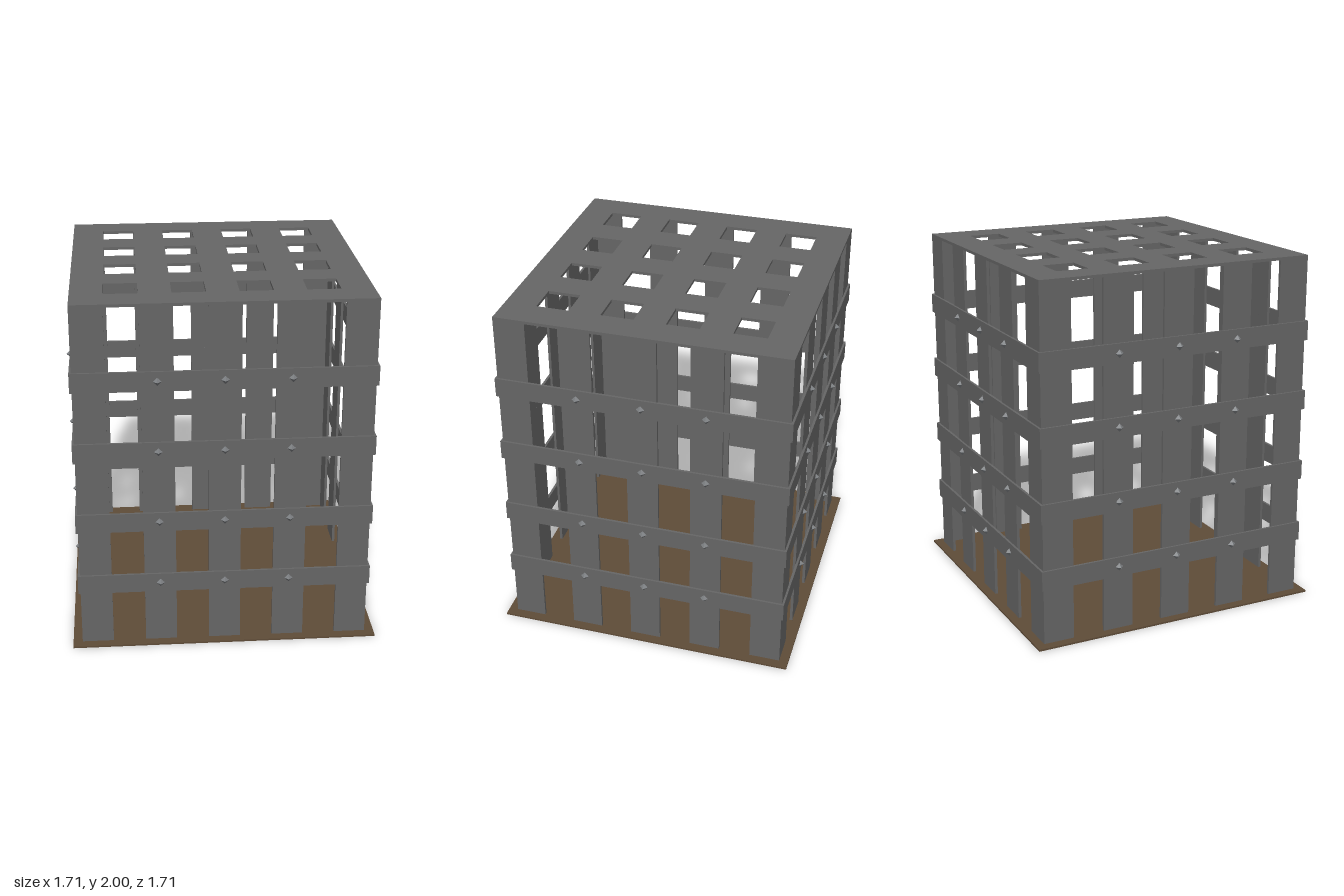
import * as THREE from 'three';

const HALF = 0.803;      // half width of the cage
const T = 0.016;         // plate thickness
const BAR = 0.176;       // bar width
const PITCH = 0.357;     // bar spacing
const BASE_H = 0.01;
const TOP = 2;
const BAND_Y = [0.38, 0.757, 1.175, 1.577];
const BAND_H = 0.11;
const BAND_OUT = 0.815;

const iron = new THREE.MeshStandardMaterial({ color: 0x666666, flatShading: true });
const studMat = new THREE.MeshStandardMaterial({ color: 0x7c7f82, flatShading: true });
const wood = new THREE.MeshStandardMaterial({ color: 0x5f4c38, flatShading: true });

function add(parent, name, geometry, material, x = 0, y = 0, z = 0) {
  const mesh = new THREE.Mesh(geometry, material);
  mesh.name = name;
  mesh.position.set(x, y, z);
  parent.add(mesh);
  return mesh;
}

// Closed polygon of [x, y] corners
const outline = (pts, Type = THREE.Shape) => new Type(pts.map(([x, y]) => new THREE.Vector2(x, y)));

const square = (cx, cy, h, Type) =>
  outline([[cx - h, cy - h], [cx + h, cy - h], [cx + h, cy + h], [cx - h, cy + h]], Type);

// Extrudes a plan shape upwards from y = 0
function extrudeUp(shape, height) {
  return new THREE.ExtrudeGeometry(shape, { depth: height, bevelEnabled: false }).rotateX(-Math.PI / 2);
}

export function createModel() {
  const model = new THREE.Group();
  model.name = 'cage';

  // Wooden floor
  add(model, 'floor', new THREE.BoxGeometry(1.71, BASE_H, 1.71), wood, 0, BASE_H / 2, 0);

  // Roof plate with a 4 x 4 grid of openings
  const roof = square(0, 0, HALF);
  for (let i = -1.5; i <= 1.5; i++)
    for (let j = -1.5; j <= 1.5; j++)
      roof.holes.push(square(i * PITCH, j * PITCH, (PITCH - BAR) / 2, THREE.Path));
  add(model, 'roof', extrudeUp(roof, T), iron, 0, TOP - T, 0);

  // Bar, angled corner post and stud shared by the four sides
  const barH = TOP - T - BASE_H;
  const barGeo = new THREE.BoxGeometry(BAR, barH, T);
  const inner = HALF - T;
  const edge = HALF - BAR;
  const postGeo = extrudeUp(outline([
    [HALF, -HALF], [HALF, -edge], [inner, -edge], [inner, -inner], [edge, -inner], [edge, -HALF],
  ]), barH);
  const studGeo = new THREE.OctahedronGeometry(0.026);

  for (let s = 0; s < 4; s++) {
    const side = new THREE.Group();
    side.name = ['frontSide', 'leftSide', 'backSide', 'rightSide'][s];
    side.rotation.y = s * Math.PI / 2;
    for (let i = -1; i <= 1; i++) {
      add(side, 'bar', barGeo, iron, i * PITCH, BASE_H + barH / 2, HALF - T / 2);
      for (const y of BAND_Y) add(side, 'stud', studGeo, studMat, i * PITCH, y, BAND_OUT - 0.003);
    }
    add(side, 'cornerPost', postGeo, iron, 0, BASE_H, 0);
    model.add(side);
  }

  // Horizontal bands wrapped around the bars
  const band = square(0, 0, BAND_OUT);
  band.holes.push(square(0, 0, HALF - 0.002, THREE.Path));
  const bandGeo = extrudeUp(band, BAND_H);
  for (const y of BAND_Y) add(model, 'band', bandGeo, iron, 0, y - BAND_H / 2, 0);

  return model;
}
